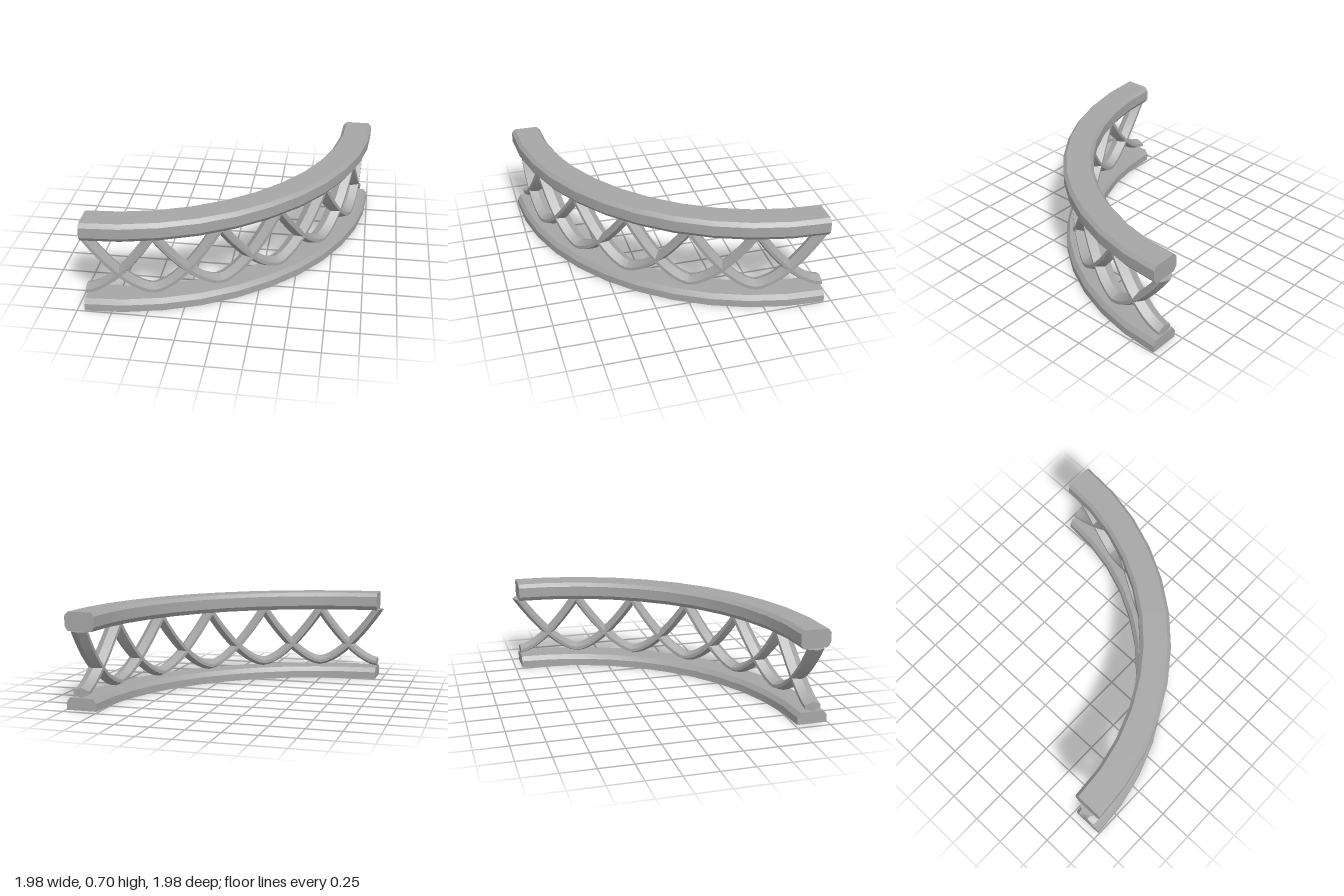
import * as THREE from 'three';
import { toCreasedNormals } from 'three/addons/utils/BufferGeometryUtils.js';

const CENTRE = -0.945;            // axis of the quarter circle, in x and z
const MID = 1.826;                // radius of the lattice centre line
const BAY = Math.PI / 12;         // six bays along the quarter turn

// Point at an angle along the curve, a radius and a height
const polar = (t, r, y) =>
  new THREE.Vector3(CENTRE + r * Math.sin(t), y, CENTRE + r * Math.cos(t));

// Closed solid through a series of matching convex rings
function loft(rings) {
  const pos = [];
  const tri = (...pts) => pts.forEach((p) => pos.push(p.x, p.y, p.z));
  const n = rings[0].length;
  for (let i = 0; i < rings.length - 1; i++) {
    for (let j = 0; j < n; j++) {
      const k = (j + 1) % n;
      const a = rings[i][j], b = rings[i][k], c = rings[i + 1][k], d = rings[i + 1][j];
      tri(a, b, c);
      tri(a, c, d);
    }
  }
  const first = rings[0], last = rings[rings.length - 1];
  for (let j = 1; j < n - 1; j++) {
    tri(first[0], first[j + 1], first[j]);
    tri(last[0], last[j], last[j + 1]);
  }
  const geo = new THREE.BufferGeometry();
  geo.setAttribute('position', new THREE.Float32BufferAttribute(pos, 3));
  return toCreasedNormals(geo, 0.4);
}

// Sweep a [radius, height] profile round the quarter turn
function sweep(profile) {
  const rings = [];
  for (let i = 0; i <= 11; i++) {
    const t = (i / 11) * Math.PI / 2;
    rings.push(profile.map(([r, y]) => polar(t, r, y)));
  }
  return loft(rings);
}

// Hexagonal strand following a U from u = from to u = to (u = 0 is its lowest point)
function strand(centre, from, to) {
  const LOW = 0.13, RISE = 0.437, POWER = 1.62, span = BAY * MID;
  const section = [[-0.06, -0.012], [-0.06, 0.012], [0, 0.037], [0.06, 0.012], [0.06, -0.012], [0, -0.037]];
  const steps = 10 * (to - from);
  const rings = [];
  for (let i = 0; i <= steps; i++) {
    const u = from + (i / steps) * (to - from);
    const y = LOW + RISE * Math.abs(u) ** POWER;
    const slope = Math.sign(u) * POWER * RISE * Math.abs(u) ** (POWER - 1) / span;
    const len = Math.hypot(1, slope);
    let ns = -slope / len, ny = 1 / len;
    // Upper ends are cut level under the handrail
    if (Math.abs(u) > 0.999) { ns = 1 / ns; ny = 0; }
    rings.push(section.map(([r, n]) =>
      polar(centre + u * BAY + (n * ns) / MID, MID + r, y + n * ny)));
  }
  return loft(rings);
}

export function createModel() {
  const model = new THREE.Group();
  model.name = 'curvedRailing';
  const grey = new THREE.MeshStandardMaterial({ color: 0xa6a6a6 });
  grey.name = 'stone grey';
  const add = (name, geo, parent = model) => {
    const mesh = new THREE.Mesh(geo, grey);
    mesh.name = name;
    parent.add(mesh);
  };

  // Handrail with bevelled edges
  add('handrail', sweep([
    [1.714, 0.6], [1.714, 0.677], [1.738, 0.705], [1.915, 0.705],
    [1.94, 0.677], [1.94, 0.6], [1.915, 0.567], [1.738, 0.567],
  ]));

  // Base plinth with a bevelled top
  add('base', sweep([
    [1.714, 0], [1.714, 0.055], [1.738, 0.09], [1.915, 0.09], [1.94, 0.055], [1.94, 0],
  ]));

  // Overlapping U strands, halved at both ends
  const lattice = new THREE.Group();
  lattice.name = 'lattice';
  model.add(lattice);
  for (let i = 0; i <= 6; i++) {
    add('latticeStrand', strand(i * BAY, i === 0 ? 0 : -1, i === 6 ? 0 : 1), lattice);
  }
  return model;
}
